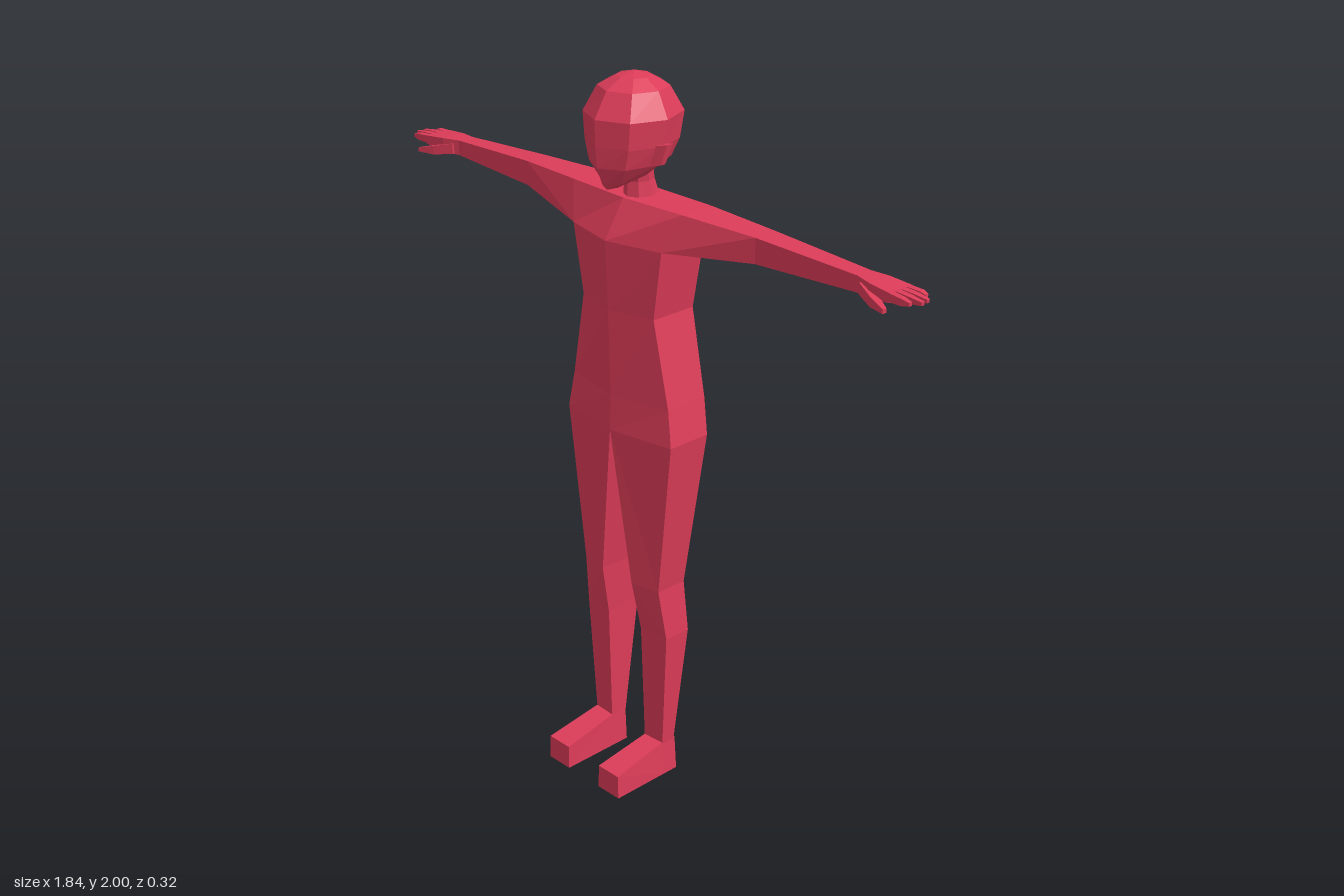
import * as THREE from 'three';

const material = new THREE.MeshStandardMaterial({ color: 0xdc3c58, flatShading: true });

// Skin a list of equal-length point rings, closing both ends; faces always point outward
function loft(name, rings) {
  const n = rings[0].length, tris = [];
  const mid = (r) => [0, 1, 2].map((k) => r.reduce((a, p) => a + p[k], 0) / n);
  const first = rings[0], last = rings[rings.length - 1];
  const c0 = mid(first), c1 = mid(last);
  for (let j = 0; j < n; j++) {
    const k = (j + 1) % n;
    for (let i = 0; i + 1 < rings.length; i++) {
      const a = rings[i], b = rings[i + 1];
      tris.push([a[j], a[k], b[k]], [a[j], b[k], b[j]]);
    }
    tris.push([c0, first[k], first[j]], [c1, last[j], last[k]]);
  }
  const v = (p) => new THREE.Vector3(...p);
  let volume = 0;
  for (const [a, b, c] of tris) volume += v(a).dot(v(b).cross(v(c)));
  if (volume < 0) tris.forEach((t) => t.reverse());
  const geometry = new THREE.BufferGeometry();
  geometry.setAttribute('position', new THREE.Float32BufferAttribute(tris.flat(2), 3));
  geometry.computeVertexNormals();
  const mesh = new THREE.Mesh(geometry, material);
  mesh.name = name;
  return mesh;
}

// Four-cornered section across x (arms, palm, fingers)
const boxAtX = (s, x, y0, y1, z0, z1) =>
  [[s * x, y1, z1], [s * x, y1, z0], [s * x, y0, z0], [s * x, y0, z1]];

function makeTorso() {
  // y, half width, front centre, front side, back side, back centre
  const sections = [
    [1.05, 0.197, 0.06, 0.028, -0.105, -0.15],
    [1.15, 0.18, 0.057, 0.022, -0.11, -0.145],
    [1.39, 0.132, 0.065, 0.03, -0.11, -0.14],
    [1.58, 0.163, 0.075, 0.035, -0.115, -0.145],
    [1.68, 0.2, 0.012, 0, -0.105, -0.107],
  ];
  return loft('torso', sections.map(([y, w, f, sf, sb, b]) =>
    [[0, y, f], [w, y, sf], [w, y, sb], [0, y, b], [-w, y, sb], [-w, y, sf]]));
}

function makeLeg(s) {
  // y, inner x, outer x, inner front, outer front, outer back, inner back
  const sections = [
    [1.05, 0, 0.197, 0.06, 0.028, -0.105, -0.15],
    [0.6, 0.058, 0.145, 0.035, 0.018, -0.078, -0.092],
    [0.45, 0.065, 0.157, 0.006, -0.002, -0.085, -0.105],
    [0.09, 0.068, 0.135, -0.008, -0.012, -0.055, -0.06],
  ];
  return loft('leg', sections.map(([y, xi, xo, fi, fo, bo, bi]) =>
    [[s * xi, y, fi], [s * xo, y, fo], [s * xo, y, bo], [s * xi, y, bi]]));
}

function makeFoot(s) {
  // z, height, inner and outer x of the upper edge
  const sections = [
    [-0.06, 0.1, 0.068, 0.135],
    [-0.008, 0.1, 0.068, 0.135],
    [0.165, 0.07, 0.063, 0.141],
  ];
  return loft('foot', sections.map(([z, h, xi, xo]) =>
    [[s * 0.062, 0, z], [s * 0.143, 0, z], [s * xo, h, z], [s * xi, h, z]]));
}

function makeArm(s) {
  // Shoulder socket slants inward toward the armpit
  const shoulder = [[s * 0.2, 1.68, 0], [s * 0.2, 1.68, -0.105],
    [s * 0.163, 1.58, -0.115], [s * 0.163, 1.58, 0.035]];
  return loft('arm', [
    shoulder,
    boxAtX(s, 0.42, 1.604, 1.671, -0.102, -0.03),
    boxAtX(s, 0.73, 1.614, 1.656, -0.095, -0.045),
  ]);
}

function makeHand(s) {
  const hand = new THREE.Group();
  hand.name = 'hand';
  hand.add(loft('palm', [
    boxAtX(s, 0.73, 1.614, 1.656, -0.095, -0.045),
    boxAtX(s, 0.78, 1.616, 1.655, -0.101, -0.029),
    boxAtX(s, 0.845, 1.626, 1.65, -0.103, -0.023),
  ]));
  // Four fingers: root z, tip z, tip x
  [[-0.093, -0.095, 0.895], [-0.073, -0.073, 0.917], [-0.053, -0.051, 0.92], [-0.033, -0.028, 0.903]]
    .forEach(([z0, z1, x]) => hand.add(loft('finger', [
      boxAtX(s, 0.835, 1.628, 1.65, z0 - 0.009, z0 + 0.009),
      boxAtX(s, 0.88, 1.63, 1.648, z1 - 0.008, z1 + 0.008),
      boxAtX(s, x, 1.634, 1.643, z1 - 0.005, z1 + 0.005),
    ])));
  hand.add(loft('thumb', [
    boxAtX(s, 0.745, 1.616, 1.645, -0.06, -0.035),
    boxAtX(s, 0.80, 1.607, 1.632, -0.036, -0.01),
    boxAtX(s, 0.85, 1.608, 1.619, -0.009, 0.004),
  ]));
  return hand;
}

// Eight-sided ring: height at front and back, half width, front z, back z
function octagon(yf, yb, w, zf, zb) {
  return Array.from({ length: 8 }, (_, i) => {
    const a = (i * Math.PI) / 4, t = (1 - Math.cos(a)) / 2;
    return [w * Math.sin(a), yf + (yb - yf) * t, zf + (zb - zf) * t];
  });
}

function makeHead() {
  const head = new THREE.Group();
  head.name = 'head';
  head.add(loft('skull', [
    octagon(1.713, 1.755, 0.03, 0.068, -0.06),
    octagon(1.73, 1.765, 0.058, 0.083, -0.112),
    octagon(1.775, 1.785, 0.094, 0.1, -0.125),
    octagon(1.83, 1.83, 0.113, 0.106, -0.145),
    octagon(1.9, 1.9, 0.122, 0.108, -0.156),
    octagon(1.965, 1.965, 0.09, 0.068, -0.115),
    octagon(1.99, 1.99, 0.045, 0.02, -0.07),
    octagon(2, 2, 0.004, -0.021, -0.029),
  ]));
  // Ears
  for (const s of [1, -1]) {
    head.add(loft('ear', [
      [[s * 0.1, 1.835, 0.005], [s * 0.1, 1.835, -0.03], [s * 0.09, 1.78, -0.02], [s * 0.09, 1.78, 0.005]],
      [[s * 0.132, 1.84, -0.012], [s * 0.132, 1.84, -0.034], [s * 0.118, 1.787, -0.02], [s * 0.118, 1.787, -0.006]],
    ]));
  }
  return head;
}

export function createModel() {
  const model = new THREE.Group();
  model.name = 'figure';
  model.add(makeTorso(), makeHead());
  model.add(loft('neck', [
    octagon(1.67, 1.67, 0.042, 0.0, -0.105),
    octagon(1.72, 1.72, 0.036, -0.005, -0.085),
    octagon(1.78, 1.78, 0.04, 0.01, -0.075),
  ]));
  for (const s of [1, -1]) {
    const side = new THREE.Group();
    side.name = s > 0 ? 'leftLimbs' : 'rightLimbs';
    side.add(makeArm(s), makeHand(s), makeLeg(s), makeFoot(s));
    model.add(side);
  }
  return model;
}
